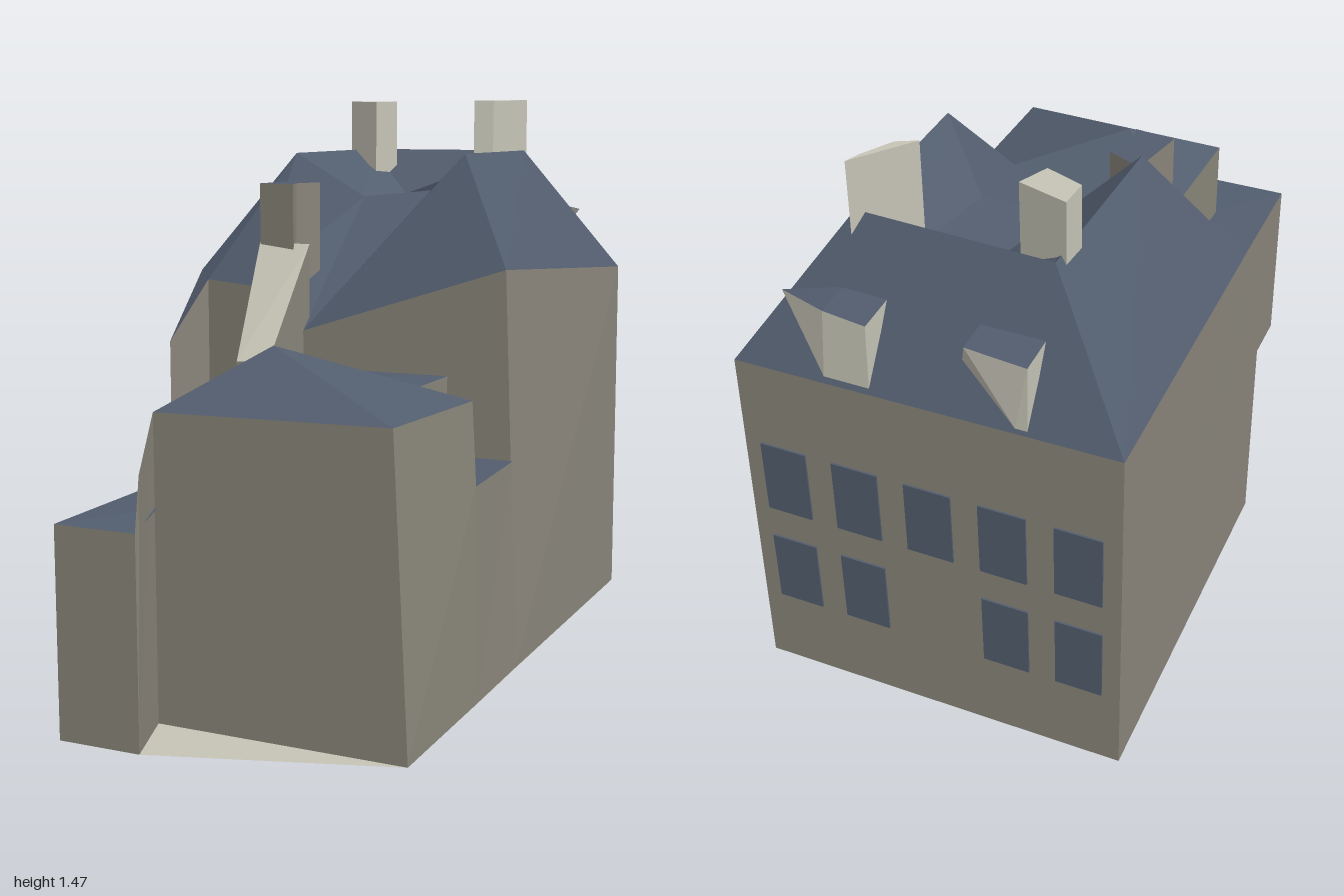
import * as THREE from 'three';

function paint(name, color) {
  const m = new THREE.MeshStandardMaterial({ color, side: THREE.DoubleSide });
  m.name = name;
  return m;
}
const wall = paint('dark stone', 0x89857a);
const pale = paint('pale stone', 0xc6c4b6);
const slate = paint('slate blue', 0x525d6e);

// Flat-faced mesh from a list of polygons, each fanned from its first corner
function part(name, material, polygons) {
  const pos = [];
  for (const p of polygons)
    for (let i = 1; i < p.length - 1; i++) pos.push(...p[0], ...p[i], ...p[i + 1]);
  const g = new THREE.BufferGeometry();
  g.setAttribute('position', new THREE.Float32BufferAttribute(pos, 3));
  g.computeVertexNormals();
  const m = new THREE.Mesh(g, material);
  m.name = name;
  return m;
}

// Upright prism: plan corners [x, z], a base height and one top height per corner
function prism(name, plan, base, tops, sideMaterial, topMaterial) {
  const top = plan.map(([x, z], i) => [x, tops[i], z]);
  const low = plan.map(([x, z]) => [x, base, z]);
  const sides = plan.map((_, i) => {
    const j = (i + 1) % plan.length;
    return [low[j], low[i], top[i], top[j]];
  });
  const group = new THREE.Group();
  group.name = name;
  group.add(part(name + 'Sides', sideMaterial, sides), part(name + 'Top', topMaterial, [top]));
  return group;
}

const ground = ([x, , z]) => [x, 0, z];

export function createModel() {
  const model = new THREE.Group();
  model.name = 'house';
  const house = new THREE.Group();
  house.name = 'houseBody';
  house.rotation.y = 0.307; // the plan sits at an angle
  model.add(house);

  // Main block eaves
  const FL0 = [-0.02, 0, 0.507], FL = [0.005, 1.045, 0.455];
  const FR0 = [0.89, 0, 0.505], FR = [0.89, 0.975, 0.5];
  const BR = [0.89, 0.985, -0.468], BK = [0.074, 1.0, -0.474];
  const TIP = [-0.11, 0.82, -0.474], BL = [0.019, 0.98, -0.424];
  const LB = [0, 0.97, -0.27], LM = [-0.025, 0.86, -0.11];
  // Ridge ring and the sunken middle
  const R1 = [0.228, 1.33, 0.255], R2 = [0.685, 1.325, 0.265];
  const R3 = [0.7, 1.322, -0.23], R4 = [0.2255, 1.325, -0.25];
  const P = [0.385, 1.22, 0.094], Q = [0.35, 1.2, -0.097];
  const S = [0.537, 1.2, -0.045], U = [0.65, 1.22, 0.15];

  house.add(part('mainWalls', wall, [
    [FL0, FR0, FR, FL],
    [FR0, ground(BR), BR, FR],
    [ground(BR), ground(TIP), TIP, BK, BR],
    [ground(TIP), ground(BL), BL, TIP],
    [ground(BL), ground(LB), LB, BL],
    [ground(LB), ground(LM), LM, LB],
    [ground(LM), FL0, FL, LM],
  ]));
  house.add(part('mainRoof', slate, [
    [FL, FR, R2, R1], [FR, BR, R3, R2], [BR, BK, R4, R3],
    [BK, TIP, BL, R4], [BL, LB, R4], [LB, LM, Q, R4],
    [LM, FL, R1], [LM, R1, P, Q],
    [R1, R2, U, P], [R2, R3, S, U], [R3, R4, Q, S], [P, U, S, Q],
  ]));

  // Lower wing with a hipped roof and a corner terrace
  const A0 = [-0.764, 0.76, -0.137], A1 = [-0.757, 0.77, 0.468];
  const N0 = [-0.317, 0, 0.51], N1 = [-0.317, 0.76, 0.488], N2 = [-0.317, 0.76, 0.29];
  const T1 = [-0.317, 0.55, 0.5], T2 = [-0.317, 0.55, 0.29];
  const T3 = [0.005, 0.55, 0.3], T4 = [-0.007, 0.55, 0.485];
  const W3 = [0.005, 0.76, 0.3], W4 = [-0.01, 0.76, -0.12];
  const E = [-0.338, 0.77, -0.124], APEX = [-0.546, 0.9, 0.068];
  const C0 = [-0.767, 0, 0.512];
  house.add(part('wingWalls', wall, [
    [C0, N0, T1, N1, A1],
    [N0, FL0, T4, T1],
    [ground(A0), C0, A1, A0],
    [ground(E), ground(A0), A0, E],
    [ground(W4), ground(E), E, W4],
  ]));
  house.add(part('wingRoof', slate, [
    [A0, A1, APEX], [A1, N1, APEX], [N1, E, APEX], [E, A0, APEX],
    [E, N2, W3, W4],
  ]));
  house.add(part('terraceWalls', wall, [[T2, T3, W3, N2], [T1, T2, N2, N1]]));
  house.add(part('terraceFloor', slate, [[T1, T4, T3, T2]]));

  // Flat lean-to behind the wing, with a taller end wall
  const L1 = [-0.955, 0.52, -0.29], L2 = [-0.376, 0.52, -0.287];
  const L3 = [-0.376, 0.53, -0.122], L4 = [-0.953, 0.52, -0.075];
  house.add(part('leanToWalls', wall, [
    [ground(L2), ground(L1), L1, L2],
    [ground(L1), ground(L4), L4, L1],
    [ground(L4), ground(A0), A0, [-0.932, 0.65, -0.075], L4],
    [ground(L3), ground(L2), L2, L3],
  ]));
  house.add(part('leanToRoof', slate, [[L1, L4, [-0.764, 0.53, -0.13], L3, L2]]));

  // Courtyard blocks
  house.add(prism('courtyardBlock',
    [[-0.376, -0.2], [-0.376, -0.12], [-0.235, -0.115], [-0.235, -0.2]],
    0, [0.765, 0.765, 0.765, 0.765], wall, slate));
  house.add(prism('slopedBlock',
    [[-0.235, -0.2], [-0.22, -0.115], [0.013, -0.108], [0.014, -0.258]],
    0, [0.8, 0.8, 1.09, 1.09], wall, pale));
  house.add(prism('stairTower',
    [[0.01, -0.255], [0.0, -0.15], [0.05, -0.165], [0.125, -0.13], [0.165, -0.22]],
    0.75, [1.25, 1.25, 1.25, 1.25, 1.25], wall, slate));

  // Chimneys
  house.add(prism('backChimney', [[0.6, -0.25], [0.565, -0.155], [0.64, -0.12], [0.675, -0.245]],
    1.15, [1.465, 1.465, 1.465, 1.465], pale, pale));
  house.add(prism('frontChimney', [[0.575, 0.15], [0.6, 0.2], [0.675, 0.245], [0.715, 0.262]],
    1.2, [1.47, 1.47, 1.47, 1.47], pale, pale));

  // Wedge dormers on the right slope: pale front and cheeks under a slate top
  const dormers = [
    { near: 0.261, far: 0.146, foot: 0.261, side: [0.81, 1.15, 0.4] },
    { near: -0.085, far: -0.242, foot: -0.212, side: [0.83, 1.1, -0.06] },
  ];
  for (const { near, far, foot, side } of dormers) {
    const f1 = [0.87, 1.17, near], f2 = [0.885, 1.17, far];
    const low = [0.892, 1.0, far], heel = [0.892, 1.0, foot];
    const b1 = [0.775, 1.172, near], b2 = [0.775, 1.172, far];
    house.add(part('dormerWalls', pale, [[heel, low, f2, f1], [low, b2, f2], [side, heel, f1]]));
    house.add(part('dormerTop', slate, [[f1, f2, b2, b1], [side, f1, b1]]));
  }

  // Windows on the right wall; the middle of the lower row is blank
  const rows = [[0.632, [0, 1, 2, 3, 4]], [0.33, [0, 1, 3, 4]]];
  for (const [y, columns] of rows)
    for (const k of columns) {
      const w = new THREE.Mesh(new THREE.BoxGeometry(0.008, 0.208, 0.12), slate);
      w.position.set(0.891, y, 0.398 - k * 0.19);
      w.name = 'window';
      house.add(w);
    }

  // Ground plate
  house.add(part('floor', pale, [
    [FR0, C0, ground(L4), ground(L1), ground(L2), [-0.235, 0, -0.2], ground(LB), ground(BR)],
  ]));
  return model;
}
